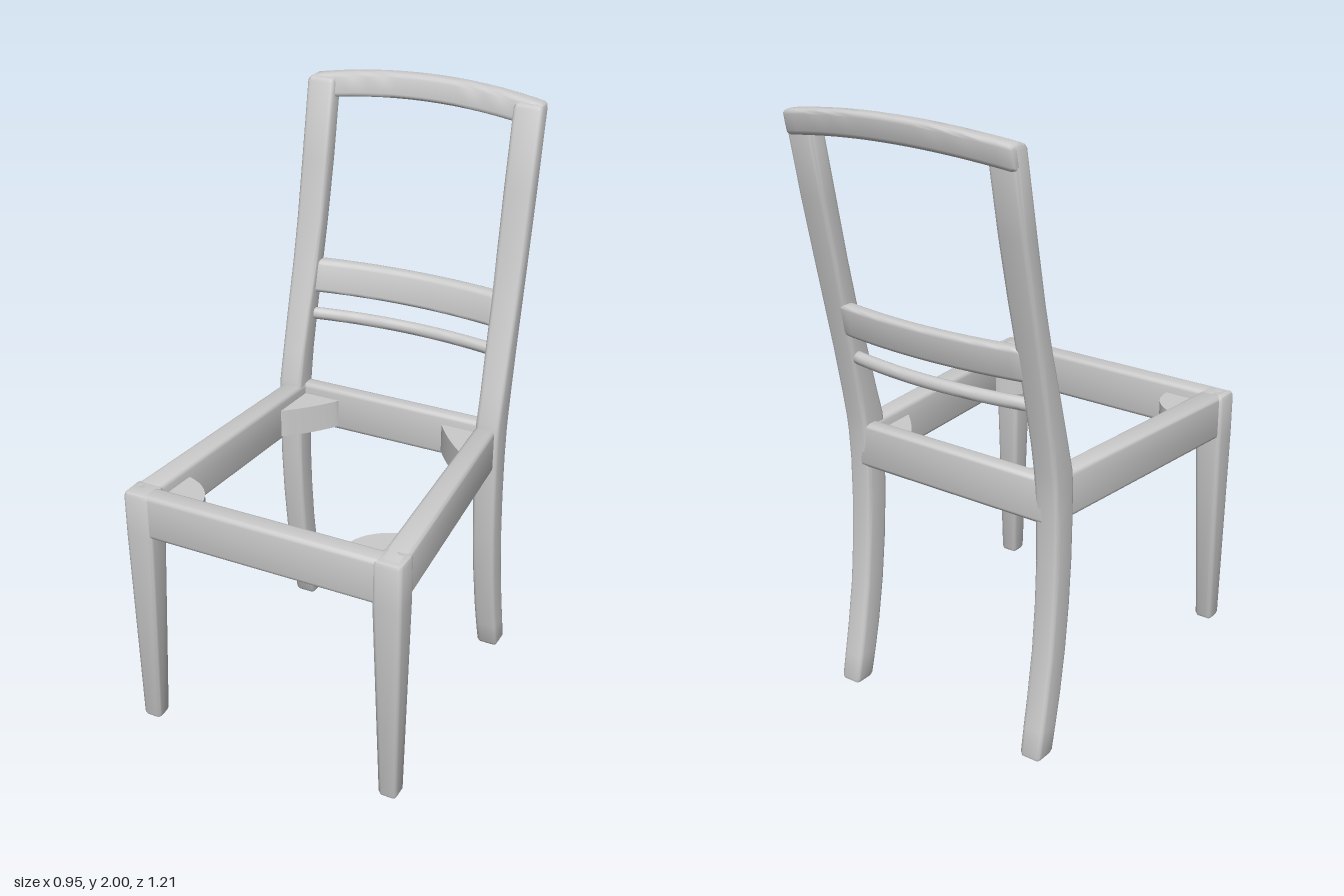
import * as THREE from 'three';
import { toCreasedNormals } from 'three/addons/utils/BufferGeometryUtils.js';

const material = new THREE.MeshStandardMaterial({ color: 0xcccccc });

// Rounded bar along one axis (0 = x, 1 = y, 2 = z).
// Each section is [t, uMin, uMax, vMin, vMax], u and v being the next two axes in cyclic order.
// shear slides v with u, so that a rail can lean.
function bar(axis, sections, r = 0.015, shear = 0) {
  const mix = (a, b, t) => a.map((n, i) => n + (b[i] - n) * (t - a[0]) / (b[0] - a[0]));
  const last = sections.length - 1;
  const [first, second, beforeEnd, end] = [sections[0], sections[1], sections[last - 1], sections[last]];
  const rings = [];
  const steps = [[0, 1], [0.3, 0.3], [1, 0]]; // [distance from end, inset] in units of r
  for (const [d, k] of steps) rings.push([mix(first, second, first[0] + d * r), k * r]);
  for (const s of sections.slice(1, -1)) rings.push([s, 0]);
  for (const [d, k] of steps.slice().reverse()) rings.push([mix(beforeEnd, end, end[0] - d * r), k * r]);

  const perCorner = 4, n = perCorner * 4, pos = [], index = [];
  const put = (t, u, v) => {
    const p = [0, 0, 0];
    p[axis] = t; p[(axis + 1) % 3] = u; p[(axis + 2) % 3] = v;
    pos.push(...p);
  };
  for (const [[t, u0, u1, v0, v1], inset] of rings) {
    const cr = Math.max(r - inset, 0.003), uc = (u0 + u1) / 2, vc = (v0 + v1) / 2;
    const hu = (u1 - u0) / 2 - inset - cr, hv = (v1 - v0) / 2 - inset - cr;
    for (let i = 0; i < n; i++) {
      const q = Math.floor(i / perCorner);
      const a = (q + (i % perCorner) / (perCorner - 1)) * Math.PI / 2;
      const du = (q === 0 || q === 3 ? hu : -hu) + cr * Math.cos(a);
      const dv = (q < 2 ? hv : -hv) + cr * Math.sin(a);
      put(t, uc + du, vc + dv + shear * du);
    }
  }
  for (let j = 0; j < rings.length - 1; j++)
    for (let i = 0; i < n; i++) {
      const a = j * n + i, b = j * n + (i + 1) % n;
      index.push(a, b, b + n, a, b + n, a + n);
    }
  const top = (rings.length - 1) * n;
  for (let i = 1; i < n - 1; i++) index.push(0, i + 1, i, top, top + i, top + i + 1);

  const g = new THREE.BufferGeometry();
  g.setAttribute('position', new THREE.Float32BufferAttribute(pos, 3));
  g.setIndex(index);
  return toCreasedNormals(g, 0.7);
}

// Sections of a rail bowed across the back; a is 1 in the middle and 0 at the ends
function bowed(half, section) {
  return Array.from({ length: 17 }, (_, i) => {
    const x = half * (i / 8 - 1);
    return [x, ...section(1 - (x / half) ** 2)];
  });
}

// Range of x mirrored to the given side
const side = (s, inner, outer) => (s > 0 ? [inner, outer] : [-outer, -inner]);

export function createModel() {
  const group = new THREE.Group();
  const add = (name, geometry) => {
    const mesh = new THREE.Mesh(geometry, material);
    mesh.name = name;
    group.add(mesh);
  };

  // Back leg and post in one sweep: height, back z, front z, inner x
  const post = [
    [0, -0.445, -0.365, 0.338], [0.1, -0.425, -0.342, 0.336], [0.2, -0.405, -0.32, 0.335],
    [0.35, -0.38, -0.295, 0.334], [0.5, -0.365, -0.278, 0.333], [0.65, -0.357, -0.268, 0.332],
    [0.8, -0.356, -0.265, 0.33], [0.9, -0.362, -0.265, 0.33], [0.95, -0.368, -0.27, 0.33],
    [1.05, -0.385, -0.296, 0.33], [1.2, -0.414, -0.336, 0.326], [1.35, -0.446, -0.378, 0.322],
    [1.5, -0.478, -0.414, 0.318], [1.7, -0.52, -0.454, 0.316], [1.965, -0.57, -0.505, 0.316],
  ];

  for (const s of [1, -1]) {
    const label = s > 0 ? 'left' : 'right';
    add(label + 'BackPost', bar(1, post.map(([y, z0, z1, x]) => [y, z0, z1, ...side(s, x, 0.414)])));

    // Tapered front leg
    add(label + 'FrontLeg', bar(1, [
      [0.065, 0.537, 0.6, ...side(s, 0.402, 0.465)],
      [0.78, 0.517, 0.609, ...side(s, 0.378, 0.473)],
      [0.932, 0.517, 0.609, ...side(s, 0.378, 0.473)],
    ]));

    // Seat side rail, splayed towards the front
    add(label + 'SeatRail', bar(2, [
      [-0.33, ...side(s, 0.325, 0.396), 0.78, 0.932],
      [0.6, ...side(s, 0.388, 0.471), 0.78, 0.932],
    ]));

    // Corner blocks inside the seat frame
    const frontBlock = new THREE.Shape();
    frontBlock.moveTo(s * 0.4, 0.385);
    frontBlock.lineTo(s * 0.37, 0.385);
    frontBlock.bezierCurveTo(s * 0.3, 0.405, s * 0.25, 0.46, s * 0.25, 0.53);
    frontBlock.lineTo(s * 0.25, 0.56);
    frontBlock.lineTo(s * 0.4, 0.56);
    const backBlock = new THREE.Shape();
    backBlock.moveTo(s * 0.36, -0.14);
    backBlock.lineTo(s * 0.335, -0.145);
    backBlock.quadraticCurveTo(s * 0.245, -0.225, s * 0.195, -0.305);
    backBlock.lineTo(s * 0.195, -0.33);
    backBlock.lineTo(s * 0.36, -0.33);
    for (const [name, shape] of [['FrontCornerBlock', frontBlock], ['BackCornerBlock', backBlock]]) {
      const g = new THREE.ExtrudeGeometry(shape, { depth: 0.1, bevelEnabled: false, curveSegments: 10 });
      g.rotateX(Math.PI / 2).translate(0, 0.895, 0);
      add(label + name, toCreasedNormals(g, 0.6));
    }
  }

  // Seat front and back rails
  add('frontSeatRail', bar(0, [[-0.46, 0.78, 0.932, 0.535, 0.606], [0.46, 0.78, 0.932, 0.535, 0.606]]));
  add('backSeatRail', bar(0, [[-0.37, 0.78, 0.932, -0.358, -0.303], [0.37, 0.78, 0.932, -0.358, -0.303]]));

  // Crest rail, arched and bowed backwards
  add('crestRail', bar(0, bowed(0.413, a => [
    1.888 + 0.032 * a, 1.966 + 0.034 * a, -0.568 - 0.03 * a, -0.506 - 0.034 * a]), 0.015, -0.2));

  // Middle rail and thin rod below it
  add('middleRail', bar(0, bowed(0.35, a => [
    1.25, 1.36, -0.436 - 0.031 * a, -0.384 - 0.036 * a]), 0.015, -0.2));
  add('backRod', bar(0, bowed(0.35, a => [
    1.151, 1.192, -0.4 - 0.037 * a, -0.362 - 0.037 * a]), 0.017));

  return group;
}
